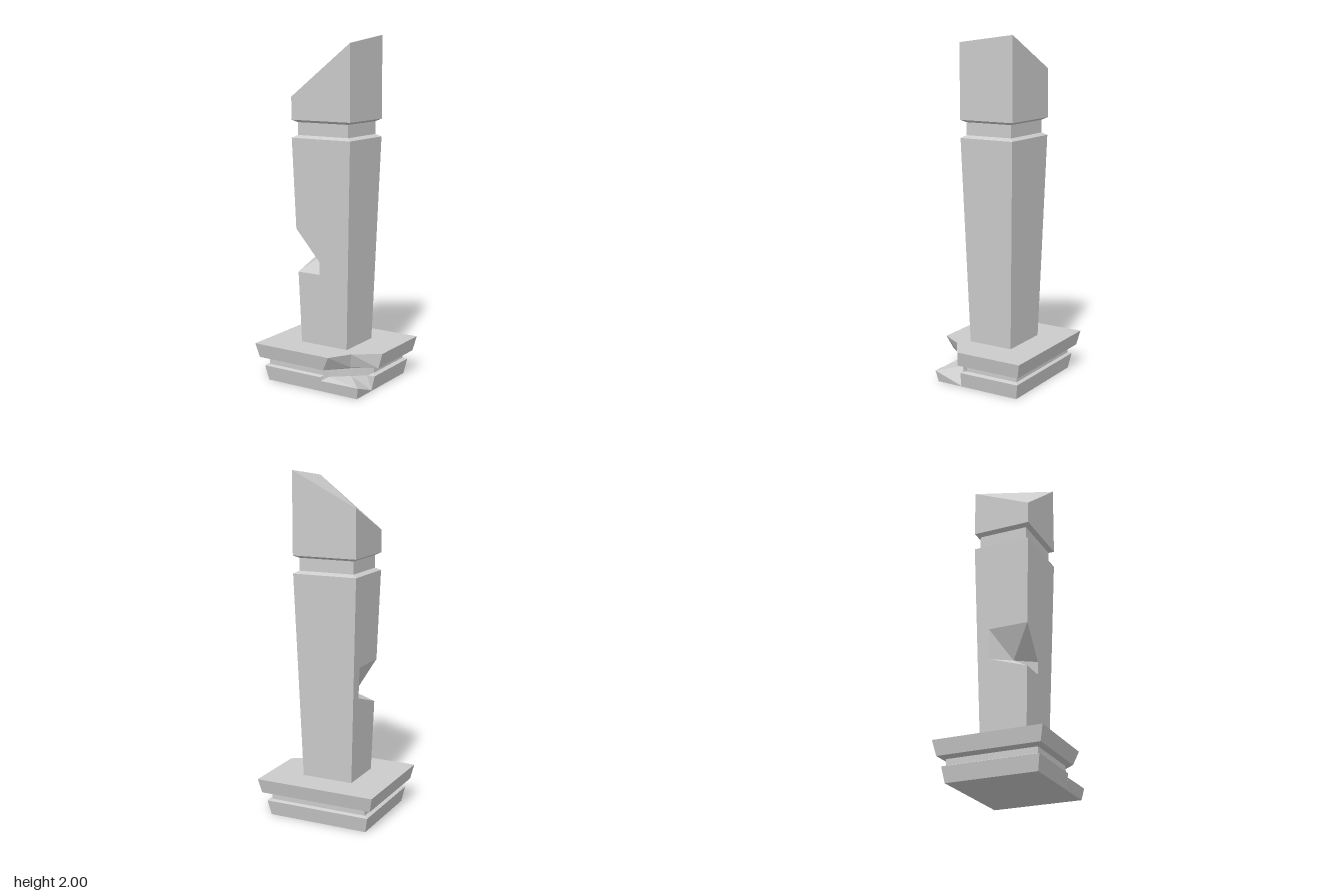
import * as THREE from 'three';

const material = new THREE.MeshStandardMaterial({ color: 0xcccccc, flatShading: true });

// Skin a stack of rings (points run clockwise seen from above) and close both ends
function loft(name, rings) {
  const pos = [];
  const tri = (a, b, c) => pos.push(...a, ...b, ...c);
  const n = rings[0].length;
  for (let i = 0; i < rings.length - 1; i++) {
    for (let j = 0; j < n; j++) {
      const k = (j + 1) % n;
      const a = rings[i][j], b = rings[i][k], c = rings[i + 1][k], d = rings[i + 1][j];
      tri(a, c, b);
      tri(a, d, c);
    }
  }
  const bottom = rings[0], top = rings[rings.length - 1];
  for (let k = 1; k < n - 1; k++) {
    tri(bottom[0], bottom[k], bottom[k + 1]);
    tri(top[0], top[k + 1], top[k]);
  }
  const geo = new THREE.BufferGeometry();
  geo.setAttribute('position', new THREE.Float32BufferAttribute(pos, 3));
  geo.computeVertexNormals();
  const mesh = new THREE.Mesh(geo, material);
  mesh.name = name;
  return mesh;
}

// Rectangular ring
const rect = (y, x, z) => [[-x, y, -z], [x, y, -z], [x, y, z], [-x, y, z]];

// Plinth ring: three whole corners, the front left one replaced by the broken edge
const chipped = (y, x, z, ...chip) => [[-x, y, -z], [x, y, -z], ...chip, [-x, y, z]];

function plinth() {
  // neck ring between the two slabs
  const neck = (y, yChip) => chipped(y, 0.298, 0.263,
    [0.298, y, 0.07], [0.27, yChip, 0.1], [0.2, yChip, 0.16], [0.1, yChip, 0.24], [0.08, y, 0.263]);
  // upper slab ring, broken along two straight cuts
  const slab = (y, x, z, side, mid, front) => chipped(y, x, z,
    [x, y, side], [x, y, side], [mid[0], y, mid[1]], [front, y, z], [front, y, z]);
  return loft('plinth', [
    chipped(0, 0.303, 0.265,
      [0.303, 0, 0.1], [0.303, 0, 0.105], [0.303, 0, 0.265], [0.07, 0, 0.265], [0.07, 0, 0.265]),
    chipped(0.088, 0.32, 0.28,
      [0.32, 0.088, 0.1], [0.303, 0.005, 0.105], [0.317, 0.068, 0.277], [0.07, 0.065, 0.277], [0.07, 0.088, 0.28]),
    neck(0.097, 0.085),
    neck(0.132, 0.132),
    slab(0.14, 0.345, 0.298, 0.1, [0.2, 0.17], 0.1),
    slab(0.225, 0.363, 0.317, 0.09, [0.22, 0.19], 0.145),
  ]);
}

function shaft() {
  const y0 = 0.225, y1 = 1.425, notchY = 0.72;
  // tapered ring with extra points where the notch ends on the front and right faces
  const ring = (y) => {
    const t = (y - y0) / (y1 - y0);
    const x = THREE.MathUtils.lerp(0.155, 0.195, t);
    const z = THREE.MathUtils.lerp(0.137, 0.17, t);
    const front = [-0.022, y, z], side = [-x, y, -0.08];
    // at the notch the corner is pulled in to the line between its two ends
    const corner = y === notchY
      ? [(front[0] + side[0]) / 2, y, (front[2] + side[2]) / 2]
      : [-x, y, z];
    return [[-x, y, -z], [x, y, -z], [x, y, z], front, corner, side];
  };
  return loft('shaft', [y0, 0.645, notchY, 0.9, y1].map(ring));
}

export function createModel() {
  const group = new THREE.Group();
  group.name = 'brokenPillar';

  group.add(plinth(), shaft());

  // groove below the head
  group.add(loft('collar', [
    rect(1.425, 0.195, 0.17),
    rect(1.44, 0.168, 0.146),
    rect(1.513, 0.168, 0.146),
    rect(1.527, 0.195, 0.172),
  ]));

  // head with a slanted top
  const x = 0.195, z = 0.172;
  group.add(loft('head', [
    rect(1.527, x, z),
    [[-x, 1.805, -z], [x, 2, -z], [x, 1.957, z], [-x, 1.657, z]],
  ]));

  return group;
}
